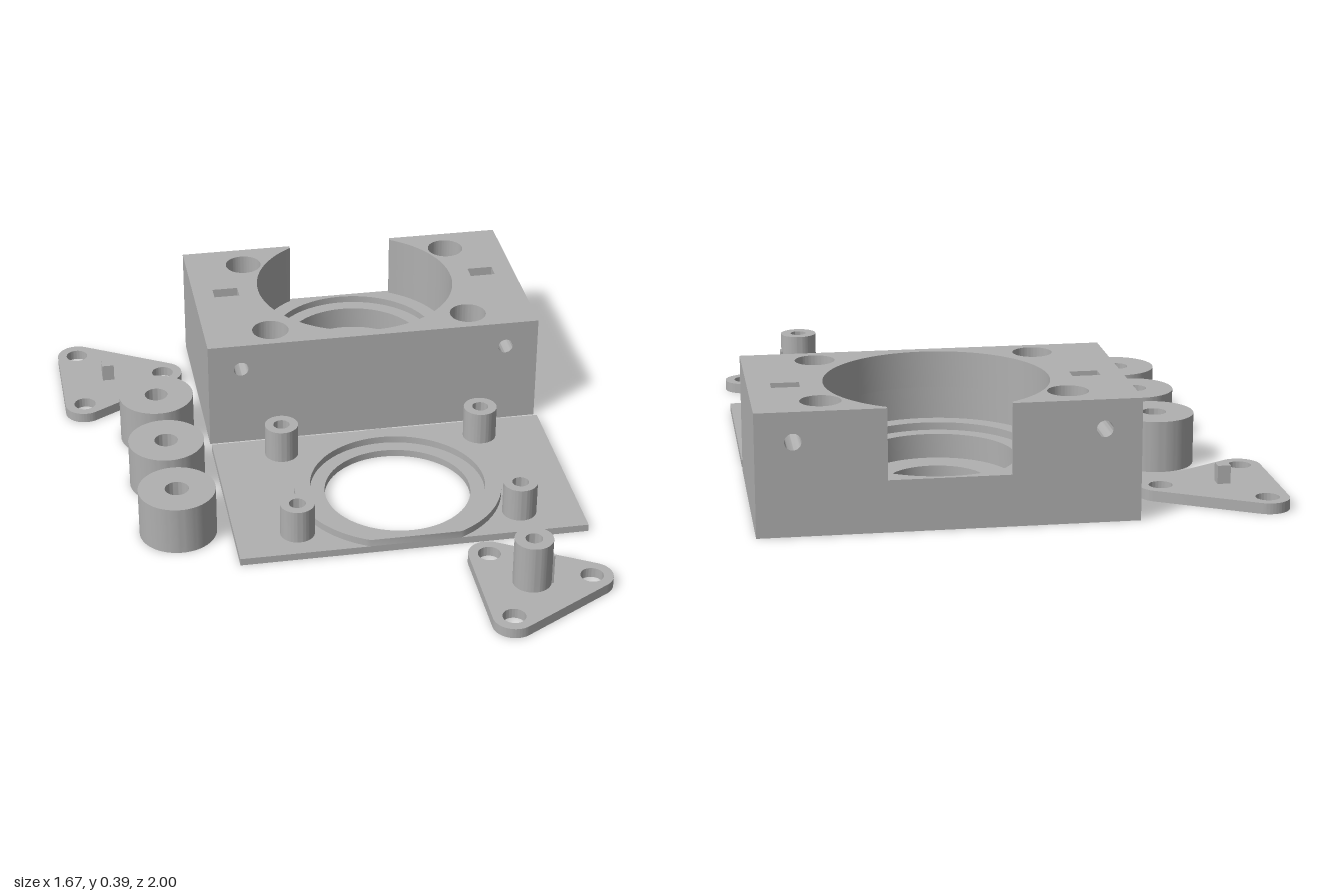
import * as THREE from 'three';
import { toCreasedNormals } from 'three/addons/utils/BufferGeometryUtils.js';

const grey = new THREE.MeshStandardMaterial({ color: 0xb0b0b0 });
grey.name = 'plain grey';

function part(parent, name, geometry, x = 0, y = 0, z = 0) {
  const mesh = new THREE.Mesh(toCreasedNormals(geometry, 0.5), grey);
  mesh.name = name;
  mesh.position.set(x, y, z);
  parent.add(mesh);
  return mesh;
}

function polygon(points) {
  return new THREE.Shape(points.map(([x, y]) => new THREE.Vector2(x, y)));
}

function rect(x0, y0, x1, y1) {
  return polygon([[x0, y0], [x1, y0], [x1, y1], [x0, y1]]);
}

function disc(r) {
  return new THREE.Shape().absarc(0, 0, r, 0, Math.PI * 2, false);
}

// holes are [x, y, radius]
function drill(shape, holes) {
  for (const [x, y, r] of holes) {
    shape.holes.push(new THREE.Path().absarc(x, y, r, 0, Math.PI * 2, true));
  }
  return shape;
}

function extrude(shape, depth) {
  return new THREE.ExtrudeGeometry(shape, { depth, bevelEnabled: false, curveSegments: 48 });
}

// Extrusion standing upright; shape y points to the back
function slab(shape, y0, y1) {
  return extrude(shape, y1 - y0).rotateX(-Math.PI / 2).translate(0, y0, 0);
}

// Bolt positions shared by housing and cover, as [x, back, radius]
const HALF = 0.59;
const housingBolts = (r) => [[-0.38, 0.2, r], [0.38, 0.2, r], [-0.355, -0.295, r], [0.355, -0.295, r]];
const coverBolts = (r) => [[-0.38, -0.2, r], [0.38, -0.2, r], [-0.355, 0.295, r], [0.355, 0.295, r]];

// Core of the housing, notched for the side slots, optionally open at the back
function coreShape(open) {
  const s = new THREE.Shape();
  s.moveTo(-0.447, -0.39);
  const right = [[0.447, -0.39], [0.447, -0.028], [0.427, -0.028], [0.427, 0.028], [0.447, 0.028], [0.447, 0.315]];
  right.forEach(([x, y]) => s.lineTo(x, y));
  if (open) {
    const a = Math.acos(0.19 / 0.355);
    s.lineTo(0.19, 0.315);
    s.absarc(0, 0, 0.355, a, Math.PI - a, true);
    s.lineTo(-0.19, 0.315);
  }
  right.slice(1).reverse().forEach(([x, y]) => s.lineTo(-x, y));
  return s;
}

function housing() {
  const g = new THREE.Group();
  g.name = 'housing';
  const screws = (r) => [[-0.206, 0, r], [0.206, 0, r]];
  // Stepped pocket, from the floor up: [y0, y1, open, bolt radius, other holes]
  const layers = [
    [0, 0.03, false, 0.028, [[0, 0, 0.16], ...screws(0.028)]],
    [0.03, 0.06, false, 0.028, [[0, 0, 0.16], ...screws(0.044)]],
    [0.06, 0.14, false, 0.028, [[0, 0, 0.25]]],
    [0.14, 0.165, false, 0.028, [[0, 0, 0.3]]],
    [0.165, 0.27, true, 0.028, []],
    [0.27, 0.39, true, 0.064, []],
  ];
  for (const [y0, y1, open, r, holes] of layers) {
    part(g, 'housingLayer', slab(drill(coreShape(open), [...housingBolts(r), ...holes]), y0, y1));
  }
  for (const side of [-1, 1]) {
    // Columns with the long cross hole, split by the slot
    for (const [z0, z1] of [[-0.315, -0.028], [0.028, 0.39]]) {
      const column = drill(rect(-0.035, 0, 0.035, 0.39), [[-side * 0.008, 0.297, 0.026]]);
      part(g, 'drilledColumn', extrude(column, z1 - z0), side * 0.482, 0, z0);
    }
    part(g, 'endWall', new THREE.BoxGeometry(HALF - 0.517, 0.39, 0.705),
      side * (HALF + 0.517) / 2, 0.195, 0.0375);
  }
  g.position.set(0.24, 0, -0.685);
  return g;
}

function cover() {
  const g = new THREE.Group();
  g.name = 'cover';
  const plate = drill(rect(-HALF, -0.32, HALF, 0.39), [[0, 0, 0.25], ...coverBolts(0.028)]);
  part(g, 'coverPlate', slab(plate, 0, 0.025));
  // Raised ring cut flush with the front edge
  const b = -Math.asin(0.32 / 0.355);
  const ring = new THREE.Shape().absarc(0, 0, 0.355, b, Math.PI - b, false);
  part(g, 'raisedRing', slab(drill(ring, [[0, 0, 0.3]]), 0.025, 0.05));
  for (const [x, back] of coverBolts(0)) {
    part(g, 'coverPost', slab(drill(disc(0.058), [[0, 0, 0.028]]), 0.025, 0.143), x, 0, -back);
  }
  g.position.set(0.24, 0, 0.14);
  return g;
}

// Rounded triangle with a hole in each corner
function triangle(name, x, z, centreHole) {
  const g = new THREE.Group();
  g.name = name;
  const s = new THREE.Shape();
  const holes = centreHole ? [[0, 0, centreHole]] : [];
  for (let i = 0; i < 3; i++) {
    const t = i * Math.PI * 2 / 3;
    const cx = 0.201 * Math.cos(t), cy = 0.201 * Math.sin(t);
    s.absarc(cx, cy, 0.07, t - Math.PI / 3, t + Math.PI / 3, false);
    holes.push([cx, cy, 0.038]);
  }
  part(g, 'trianglePlate', slab(drill(s, holes), 0, 0.035));
  g.position.set(x, 0, z);
  return g;
}

export function createModel() {
  const model = new THREE.Group();
  model.name = 'mechanicalPartsSet';
  model.add(housing(), cover());

  // Triangle with a small square peg
  const pegTriangle = triangle('pegTriangle', -0.667, -0.76, 0);
  part(pegTriangle, 'peg', new THREE.BoxGeometry(0.042, 0.06, 0.042), 0, 0.065, 0);

  // Triangle with a hollow post and a shallow key
  const postTriangle = triangle('postTriangle', 0.56, 0.755, 0.028);
  part(postTriangle, 'hollowPost', slab(drill(disc(0.0635), [[0, 0, 0.028]]), 0.035, 0.203));
  part(postTriangle, 'key', new THREE.BoxGeometry(0.016, 0.105, 0.042), 0.059, 0.0875, 0);
  model.add(pegTriangle, postTriangle);

  // Three spacers in a row
  for (const z of [-0.385, -0.08, 0.225]) {
    part(model, 'spacer', slab(drill(disc(0.13), [[0, 0, 0.04]]), 0, 0.17), -0.527, 0, z);
  }
  return model;
}
